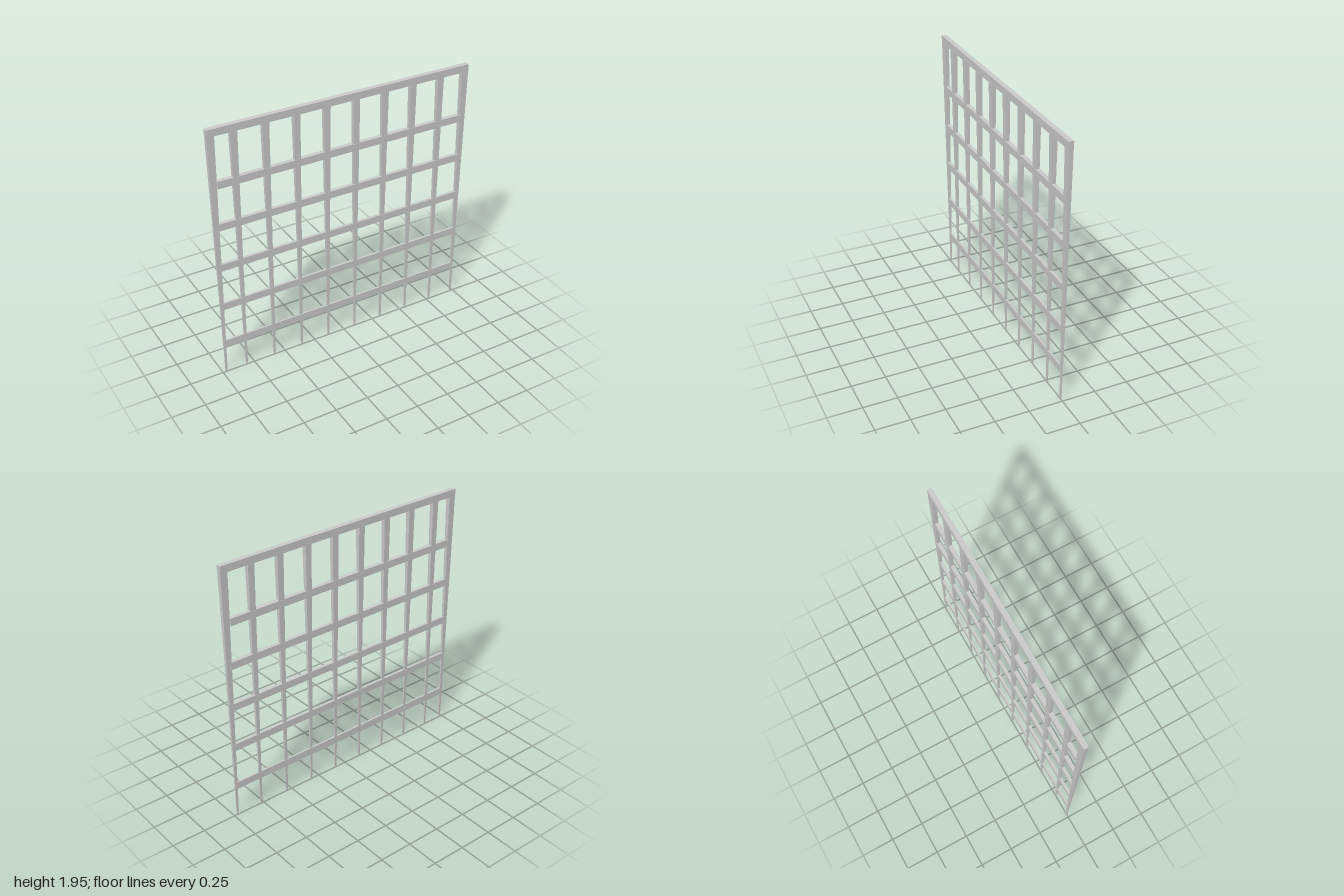
import * as THREE from 'three';

const HEIGHT = 1.945;
const SHOULDER = 0.04; // height where the pointed foot begins

export function createModel() {
  const group = new THREE.Group();
  group.name = 'latticeFence';
  const material = new THREE.MeshStandardMaterial({ color: 0xcccccc, flatShading: true });

  const barDepth = (y) => THREE.MathUtils.lerp(0.008, 0.034, y / HEIGHT);

  // Upright that narrows downwards and ends in a small point
  function upright(name, x, topWidth) {
    const geometry = new THREE.BoxGeometry(1, 1, 1, 1, 2, 1);
    const p = geometry.attributes.position;
    for (let i = 0; i < p.count; i++) {
      const row = Math.round((p.getY(i) + 0.5) * 2);
      const y = [0, SHOULDER, HEIGHT - 0.02][row];
      const width = [0.008, 0.015, topWidth][row];
      const depth = row === 0 ? 0.005 : barDepth(y);
      p.setXYZ(i, p.getX(i) * width, y, p.getZ(i) * depth);
    }
    geometry.computeVertexNormals();
    const mesh = new THREE.Mesh(geometry, material);
    mesh.name = name;
    mesh.position.x = x;
    group.add(mesh);
  }

  // Horizontal bar given by its middle height
  function rail(name, y, length, height, depth) {
    const mesh = new THREE.Mesh(new THREE.BoxGeometry(length, height, depth), material);
    mesh.name = name;
    mesh.position.y = y;
    group.add(mesh);
  }

  // Uprights
  upright('rightEndPost', -0.973, 0.054);
  upright('leftEndPost', 0.973, 0.054);
  for (let i = 0; i < 8; i++) upright('innerUpright' + (i + 1), -0.812 + i * 0.226, 0.05);

  // Top beam and cross rails, which thin out with the uprights
  rail('topBeam', HEIGHT - 0.0265, 2, 0.053, 0.036);
  const heights = [1.535, 1.215, 0.895, 0.573, 0.252];
  const lengths = [1.888, 1.935, 1.94, 1.945, 1.95];
  heights.forEach((y, i) => rail('crossRail' + (i + 1), y, lengths[i], 0.054, barDepth(y) + 0.003));

  return group;
}
